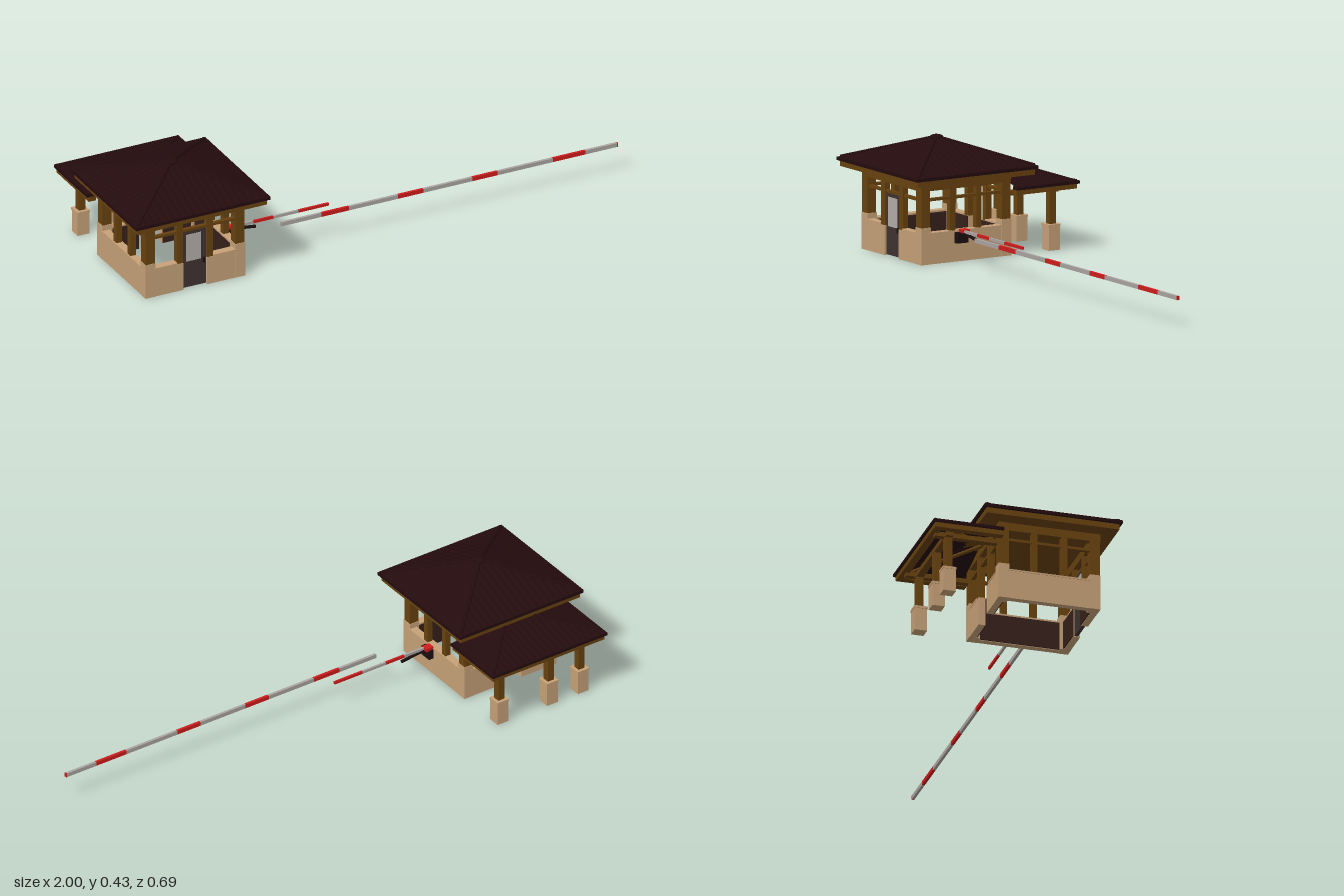
import * as THREE from 'three';

const mat = (name, color, side = THREE.FrontSide) => {
  const m = new THREE.MeshStandardMaterial({ color, side });
  m.name = name;
  return m;
};

export function createModel() {
  const M = {
    roof: mat('maroon roof', 0x240b0e, THREE.DoubleSide),
    wood: mat('brown wood', 0x68420f),
    stucco: mat('tan stucco', 0xc6a178),
    door: mat('dark door', 0x3f332f),
    lining: mat('dark lining', 0x36201a),
    pane: mat('grey pane', 0xb3adab),
    white: mat('barrier grey', 0xaba5a2),
    red: mat('barrier red', 0xd01c1c),
    black: mat('motor black', 0x1a0f10),
  };
  const root = new THREE.Group();
  root.name = 'guardBooth';

  const group = (name) => {
    const g = new THREE.Group();
    g.name = name;
    root.add(g);
    return g;
  };
  // box given by its limits on each axis
  const box = (parent, name, m, x0, x1, y0, y1, z0, z1) => {
    const mesh = new THREE.Mesh(new THREE.BoxGeometry(x1 - x0, y1 - y0, z1 - z0), m);
    mesh.position.set((x0 + x1) / 2, (y0 + y1) / 2, (z0 + z1) / 2);
    mesh.name = name;
    parent.add(mesh);
  };
  // round bar between two points
  const bar = (parent, name, m, a, b, r) => {
    const d = b.clone().sub(a);
    const mesh = new THREE.Mesh(new THREE.CylinderGeometry(r, r, d.length(), 8), m);
    mesh.position.copy(a).add(b).multiplyScalar(0.5);
    mesh.quaternion.setFromUnitVectors(new THREE.Vector3(0, 1, 0), d.normalize());
    mesh.name = name;
    parent.add(mesh);
  };
  const V = (x, y, z) => new THREE.Vector3(x, y, z);

  // ribbed roof slope: ribs climb from eave A-B up to the hips that meet at P
  const slope = (parent, A, B, P, ribs) => {
    const ab = B.clone().sub(A);
    // where P stands along the eave: 0 is above A, 1 is above B
    const up = THREE.MathUtils.clamp(P.clone().sub(A).dot(ab) / ab.lengthSq(), 0, 1);
    const pos = [];
    const edge = (i) => {
      const u = i / (ribs * 2);
      const low = A.clone().lerp(B, u);
      const onFirstHip = u < up || up === 1;
      const top = onFirstHip ? A.clone().lerp(P, u / up) : B.clone().lerp(P, (1 - u) / (1 - up));
      const lift = i % 2 ? 0.003 : 0;
      low.y += lift;
      top.y += lift;
      return [low, top];
    };
    for (let i = 0; i < ribs * 2; i++) {
      const [a, d] = edge(i), [b, c] = edge(i + 1);
      for (const p of [a, b, c, a, c, d]) pos.push(p.x, p.y, p.z);
    }
    const g = new THREE.BufferGeometry();
    g.setAttribute('position', new THREE.Float32BufferAttribute(pos, 3));
    g.computeVertexNormals();
    const mesh = new THREE.Mesh(g, M.roof);
    mesh.name = 'roofSlope';
    parent.add(mesh);
  };

  const X0 = -0.93, X1 = -0.535, Z0 = -0.092, Z1 = 0.284, T = 0.025;
  const D0 = -0.78, D1 = -0.685;

  // low stucco walls with door gaps front and back
  const walls = group('walls');
  for (const x of [X0, X1 - T]) box(walls, 'sideWall', M.stucco, x, x + T, 0, 0.107, Z0, Z1);
  for (const z of [Z0, Z1 - T]) {
    box(walls, 'endWall', M.stucco, X0, D0, 0, 0.107, z, z + T);
    box(walls, 'endWall', M.stucco, D1, X1, 0, 0.107, z, z + T);
  }

  // dark panels on the inside of the low walls
  for (const x of [X0 + T, X1 - T - 0.004]) box(walls, 'sideLining', M.lining, x, x + 0.004, 0.002, 0.106, Z0 + T, Z1 - T);
  for (const z of [Z0 + T, Z1 - T - 0.004]) {
    box(walls, 'endLining', M.lining, X0 + T, D0, 0.002, 0.106, z, z + 0.004);
    box(walls, 'endLining', M.lining, D1, X1 - T, 0.002, 0.106, z, z + 0.004);
  }

  // corner piers and wooden corner posts
  for (const x of [X0, X1 - 0.038])
    for (const z of [Z0, Z1 - 0.038]) {
      box(walls, 'cornerPier', M.stucco, x - 0.001, x + 0.039, 0, 0.133, z - 0.001, z + 0.039);
      box(walls, 'cornerPost', M.wood, x + 0.001, x + 0.037, 0.133, 0.296, z + 0.001, z + 0.037);
    }

  // window posts, sills, transoms and lintels
  const frames = group('windowFrames');
  for (const x of [X0 + 0.002, X1 - 0.024]) {
    for (const z of [0.151, 0.041]) box(frames, 'windowPost', M.wood, x, x + 0.022, 0.105, 0.28, z - 0.011, z + 0.011);
    box(frames, 'sill', M.stucco, x - 0.004, x + 0.026, 0.107, 0.113, Z0 + 0.03, Z1 - 0.03);
    box(frames, 'transom', M.wood, x + 0.004, x + 0.018, 0.226, 0.236, Z0 + 0.02, Z1 - 0.02);
    box(frames, 'lintel', M.wood, x - 0.001, x + 0.023, 0.264, 0.297, Z0, Z1);
  }
  for (const z of [Z0 + 0.002, Z1 - 0.024]) {
    for (const x of [D0 - 0.012, D1 + 0.012]) box(frames, 'doorPost', M.wood, x - 0.012, x + 0.012, 0.107, 0.28, z, z + 0.022);
    box(frames, 'sill', M.stucco, X0 + 0.03, D0 - 0.024, 0.107, 0.113, z - 0.004, z + 0.026);
    box(frames, 'sill', M.stucco, D1 + 0.024, X1 - 0.03, 0.107, 0.113, z - 0.004, z + 0.026);
    box(frames, 'transom', M.wood, X0 + 0.02, X1 - 0.02, 0.226, 0.236, z + 0.004, z + 0.018);
    box(frames, 'lintel', M.wood, X0, X1, 0.264, 0.297, z - 0.001, z + 0.023);
  }

  // front door with a tall pane
  const door = group('frontDoor');
  box(door, 'doorLeaf', M.door, D0, D1, 0.003, 0.226, 0.264, 0.276);
  box(door, 'doorPane', M.pane, D0 + 0.014, D1 - 0.022, 0.106, 0.212, 0.262, 0.278);
  box(door, 'doorHandle', M.black, D1 - 0.015, D1 - 0.008, 0.09, 0.11, 0.276, 0.284);

  // main hipped roof
  const roof = group('mainRoof');
  const rx0 = -0.999, rx1 = -0.465, rz0 = -0.164, rz1 = 0.346, cx = (rx0 + rx1) / 2, cz = 0.096;
  box(roof, 'fascia', M.wood, rx0 + 0.009, rx1 - 0.009, 0.294, 0.316, rz0 + 0.009, rz1 - 0.009);
  box(roof, 'eaveEdge', M.roof, rx0, rx1, 0.315, 0.327, rz0, rz1);
  const corners = [V(rx0, 0.324, rz1), V(rx1, 0.324, rz1), V(rx1, 0.324, rz0), V(rx0, 0.324, rz0)];
  const peak = V(cx, 0.416, cz);
  corners.forEach((c, i) => {
    slope(roof, c, corners[(i + 1) % 4], peak, 20);
    bar(roof, 'hipCap', M.roof, c.clone().lerp(peak, 0.04), peak, 0.007);
  });
  const cap = new THREE.Mesh(new THREE.SphereGeometry(0.024, 16, 8), M.roof);
  cap.scale.y = 0.38;
  cap.position.copy(peak);
  cap.name = 'peakCap';
  roof.add(cap);

  // lower porch roof against the back wall
  const porch = group('porch');
  const px0 = -0.975, px1 = -0.48, pz = -0.346, pw = -0.085;
  const bl = V(px0, 0.25, pz), br = V(px1, 0.25, pz), top = V(cx, 0.306, pw);
  slope(porch, br, bl, top, 20);
  slope(porch, V(px1, 0.25, pw), br, top, 11);
  slope(porch, bl, V(px0, 0.25, pw), top, 11);
  for (const c of [bl, br]) {
    bar(porch, 'hipCap', M.roof, c.clone().lerp(top, 0.03), top, 0.006);
    const foot = c.clone().lerp(top, 0.1);
    bar(porch, 'hipRafter', M.wood, V(foot.x, foot.y - 0.016, foot.z), V(cx, 0.291, pw), 0.007);
  }
  for (const [name, m, y0, y1, i, w] of [
    ['eaveEdge', M.roof, 0.242, 0.253, 0, 0.03],
    ['fascia', M.wood, 0.224, 0.243, 0.007, 0.028],
  ]) {
    box(porch, name, m, px0 + i, px1 - i, y0, y1, pz + i, pz + i + w);
    box(porch, name, m, px0 + i, px0 + i + w, y0, y1, pz + i, pw);
    box(porch, name, m, px1 - i - w, px1 - i, y0, y1, pz + i, pw);
  }
  box(porch, 'postBeam', M.wood, -0.935, -0.53, 0.212, 0.23, -0.288, -0.262);
  for (const x of [-0.905, -0.555]) box(porch, 'sideBeam', M.wood, x - 0.012, x + 0.012, 0.213, 0.23, -0.325, Z0);

  // porch posts on stucco bases
  for (const x of [-0.905, -0.772, -0.558]) {
    box(porch, 'postBase', M.stucco, x - 0.023, x + 0.023, 0, 0.088, -0.297, -0.251);
    box(porch, 'postBaseCap', M.stucco, x - 0.025, x + 0.025, 0.085, 0.094, -0.299, -0.249);
    box(porch, 'post', M.wood, x - 0.013, x + 0.013, 0.094, 0.215, -0.287, -0.261);
  }

  // barrier motor and bracket on the side wall
  const motor = group('barrierMotor');
  box(motor, 'motorBox', M.black, X1, X1 + 0.02, 0.068, 0.106, 0.1, 0.146);
  box(motor, 'pivot', M.red, X1, X1 + 0.03, 0.104, 0.117, 0.1, 0.128);
  bar(motor, 'bracket', M.black, V(-0.53, 0.106, 0.12), V(-0.41, 0.09, 0.12), 0.006);

  // striped barrier arms: colours alternate between the stops along x
  const arm = (name, z, h, w, stops) => {
    const g = group(name);
    for (let i = 0; i + 1 < stops.length; i++) {
      const red = i % 2 === 1;
      box(g, red ? 'redStripe' : 'greyStripe', red ? M.red : M.white, stops[i], stops[i + 1], 0.11 - h / 2, 0.11 + h / 2, z - w / 2, z + w / 2);
    }
  };
  arm('longArm', 0.18, 0.015, 0.01, [-0.34, -0.18, -0.07, 0.125, 0.225, 0.42, 0.52, 0.74, 0.87, 0.996, 1]);
  arm('shortArm', 0.12, 0.01, 0.008, [-0.51, -0.42, -0.34, -0.24, -0.12]);

  return root;
}
